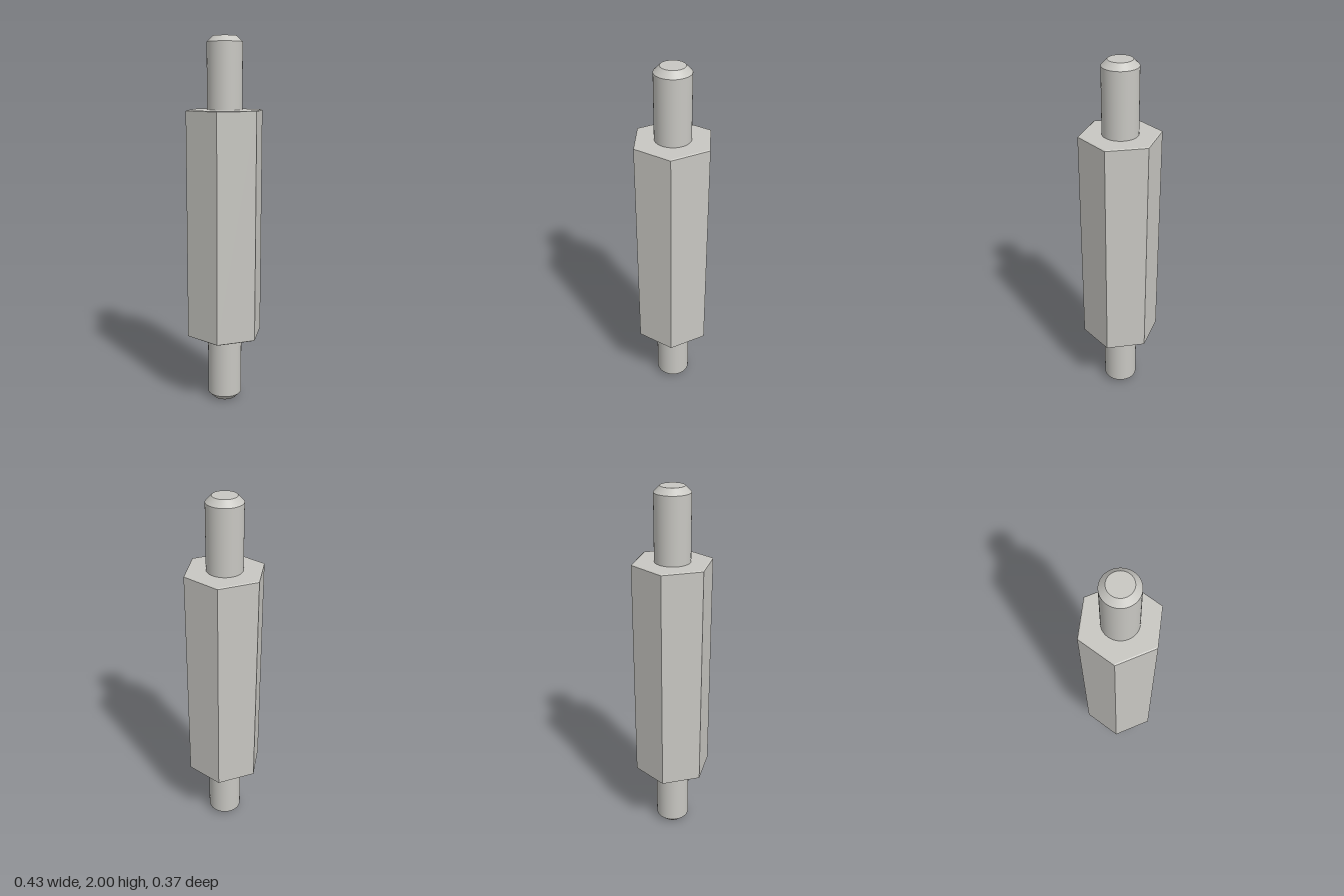
import * as THREE from 'three';

export function createModel() {
  const group = new THREE.Group();
  const steel = new THREE.MeshStandardMaterial({ color: 0xc8c7c2 });
  steel.name = 'steel';

  // One ring of wall between two heights; a radius of 0 closes it as a cap
  const section = (name, rBottom, rTop, y0, y1, sides) => {
    let geo = new THREE.CylinderGeometry(rTop, rBottom, y1 - y0, sides, 1, true, Math.PI / 2);
    if (sides === 6) {
      geo = geo.toNonIndexed();
      geo.computeVertexNormals();
    }
    const mesh = new THREE.Mesh(geo, steel);
    mesh.name = name;
    mesh.position.y = (y0 + y1) / 2;
    group.add(mesh);
  };

  // Flat end face, facing up (1) or down (-1)
  const face = (name, r, y, dir, sides) => {
    const mesh = new THREE.Mesh(new THREE.CircleGeometry(r, sides), steel);
    mesh.name = name;
    mesh.rotation.x = -dir * Math.PI / 2;
    mesh.position.y = y;
    group.add(mesh);
  };

  // Hexagonal body with finely chamfered ends
  const R = 0.215, r = 0.208, y0 = 0.38, y1 = 1.622, c = 0.004;
  section('hexBody', R, R, y0 + c, y1 - c, 6);
  section('hexTopChamfer', R, r, y1 - c, y1, 6);
  section('hexBottomChamfer', r, R, y0, y0 + c, 6);
  face('hexTopFace', r, y1, 1, 6);
  face('hexBottomFace', r, y0, -1, 6);

  // Round studs with chamfered tips
  const s = 0.094, tip = 0.063, h = 0.031;
  section('upperStud', s, s, y1, 2 - h, 64);
  section('upperStudChamfer', s, tip, 2 - h, 2, 64);
  face('upperStudTip', tip, 2, 1, 64);
  section('lowerStud', s, s, h, y0, 64);
  section('lowerStudChamfer', tip, s, 0, h, 64);
  face('lowerStudTip', tip, 0, -1, 64);

  return group;
}
